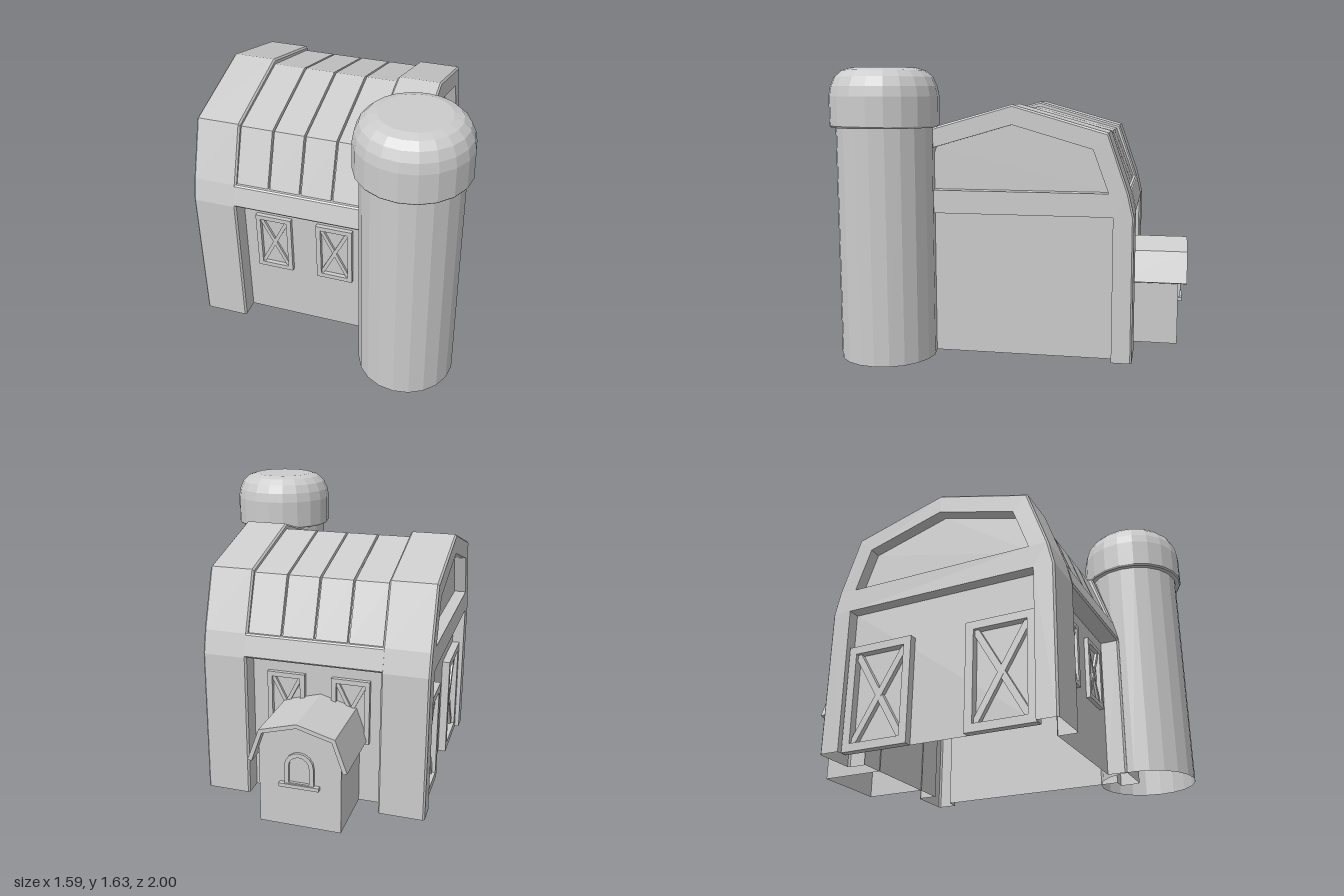
import * as THREE from 'three';

const material = new THREE.MeshStandardMaterial({ color: 0xcccccc, flatShading: true, side: THREE.DoubleSide });

function add(parent, name, geometry) {
  const mesh = new THREE.Mesh(geometry, material);
  mesh.name = name;
  parent.add(mesh);
  return mesh;
}

// Half profile [z, y] from the ground to the ridge, mirrored to a full one
const mirror = half => [
  ...half,
  ...half.filter(p => p[0] > 0).reverse().map(([z, y]) => [-z, y]),
];

// Sheet through cross-sections { x, pts } set along x
function loft(sections) {
  const pos = [];
  for (let s = 0; s < sections.length - 1; s++) {
    const A = sections[s], B = sections[s + 1];
    for (let i = 0; i < A.pts.length - 1; i++) {
      const v = (S, k) => [S.x, S.pts[k][1], S.pts[k][0]];
      const a = v(A, i), b = v(B, i), c = v(B, i + 1), d = v(A, i + 1);
      pos.push(...a, ...b, ...c, ...a, ...c, ...d);
    }
  }
  const g = new THREE.BufferGeometry();
  g.setAttribute('position', new THREE.Float32BufferAttribute(pos, 3));
  g.computeVertexNormals();
  return g;
}

const toShape = (pts, Type = THREE.Shape) => new Type(pts.map(p => new THREE.Vector2(p[0], p[1])));

// Flat upright plate at x, facing dir along x
function plate(pts, x, dir, holes = []) {
  const s = toShape(pts);
  s.holes = holes.map(h => toShape(h, THREE.Path));
  return new THREE.ShapeGeometry(s).rotateY(dir * Math.PI / 2).translate(x, 0, 0);
}

// Rectangular frame with crossed braces, facing +z, standing on its bottom edge
function bracedPanel(name, w, h, border, depth) {
  const g = new THREE.Group();
  g.name = name;
  const rect = (a, b) => [[-a, -b], [a, -b], [a, b], [-a, b]];
  const s = toShape(rect(w / 2, h / 2));
  const iw = w / 2 - border, ih = h / 2 - border;
  s.holes = [toShape(rect(iw, ih), THREE.Path)];
  add(g, 'panelFrame', new THREE.ExtrudeGeometry(s, { depth, bevelEnabled: false }).translate(0, h / 2, 0));
  for (const k of [1, -1]) {
    const t = border * 0.5;
    const bar = toShape([[-iw * k, -ih], [(-iw + t) * k, -ih], [iw * k, ih - t * 1.5],
      [iw * k, ih], [(iw - t) * k, ih], [-iw * k, -ih + t * 1.5]]);
    add(g, 'crossBrace', new THREE.ExtrudeGeometry(bar, { depth: depth * (k > 0 ? 0.6 : 0.58), bevelEnabled: false })
      .translate(0, h / 2, 0));
  }
  return g;
}

const X0 = -0.8, X1 = -0.54, X2 = 0.21, X3 = 0.465;   // barn ends and bay limits
const RECESS = 0.07, BEVEL = 0.01;

function buildBarn() {
  const barn = new THREE.Group();
  barn.name = 'barn';
  const outline = d => mirror([[0.675 - d, 0], [0.675 - d, 0.82], [0.645 - d, 0.95], [0.53 - d * 0.6, 1.28 - d], [0, 1.43 - d]]);
  const roofLine = d => mirror([[0.625 - d, 0.95], [0.51 - d, 1.26 - d], [0, 1.4 - d]]);
  const loftHole = mirror([[0.535, 0.95], [0.447, 1.19], [0, 1.32]]);
  const bay = [[0.56, 0], [0.56, 0.82], [-0.56, 0.82], [-0.56, 0]];

  // End frames with recessed gable panels
  for (const [a, b, dir] of [[X0, X1, -1], [X2, X3, 1]]) {
    const end = new THREE.Group();
    end.name = dir > 0 ? 'leftEnd' : 'rightEnd';
    barn.add(end);
    add(end, 'endSkin', loft([
      { x: a, pts: outline(BEVEL) }, { x: a + BEVEL, pts: outline(0) },
      { x: b - BEVEL, pts: outline(0) }, { x: b, pts: outline(BEVEL) },
    ]));
    const out = dir > 0 ? b : a, inner = dir > 0 ? a : b, back = out - dir * RECESS;
    add(end, 'gableFrame', plate([...outline(BEVEL), ...[...bay].reverse()], out, dir, [loftHole]));
    add(end, 'gablePanel', plate(loftHole, back, dir));
    add(end, 'gableWall', plate(bay, back, dir));
    const lo = Math.max(out, back), hi = Math.min(out, back);
    add(end, 'gableReveal', loft([lo, hi].map(x => ({ x, pts: [...loftHole, loftHole[0]] }))));
    add(end, 'wallReveal', loft([lo, hi].map(x => ({ x, pts: bay }))));
    // Steps down to the middle bay
    const ring = [...outline(BEVEL).slice(2, -2), ...roofLine(0.012).reverse()];
    add(end, 'roofStep', plate(ring, inner, -dir));
    for (const s of [1, -1]) {
      add(end, 'postSide', plate([[0.565 * s, 0], [0.665 * s, 0], [0.665 * s, 0.82], [0.565 * s, 0.82]], inner, -dir));
    }
  }

  // Middle bay: side walls with an overhanging band
  for (const s of [1, -1]) {
    let pts = [[0.565, 0], [0.565, 0.82], [0.667, 0.82], [0.675, 0.83], [0.648, 0.942], [0.64, 0.95], [0.61, 0.95]];
    if (s < 0) pts = pts.map(([z, y]) => [-z, y]).reverse();
    add(barn, s > 0 ? 'frontWall' : 'backWall', loft([X1 - BEVEL, X2 + BEVEL].map(x => ({ x, pts }))));
  }

  // Roof panels separated by narrow grooves
  const sections = [{ x: X1 - 0.002, pts: roofLine(0) }];
  for (const x of [-0.35, -0.165, 0.02]) {
    for (const [dx, d] of [[-0.006, 0], [-0.003, 0.015], [0.003, 0.015], [0.006, 0]]) {
      sections.push({ x: x + dx, pts: roofLine(d) });
    }
  }
  sections.push({ x: X2 + 0.002, pts: roofLine(0) });
  add(barn, 'roofPanels', loft(sections));

  // Windows front and back, doors on the right gable
  for (const x of [-0.355, 0.0125]) for (const s of [1, -1]) {
    const win = bracedPanel('window', 0.215, 0.365, 0.027, 0.025);
    win.position.set(x, 0.36, 0.565 * s);
    if (s < 0) win.rotation.y = Math.PI;
    barn.add(win);
  }
  for (const s of [1, -1]) {
    const door = bracedPanel('door', 0.39, 0.6, 0.045, 0.045);
    door.position.set(X0 + RECESS, 0, 0.36 * s);
    door.rotation.y = -Math.PI / 2;
    barn.add(door);
  }
  return barn;
}

// Small gambrel shed, built along +x
function buildShed() {
  const shed = new THREE.Group();
  shed.name = 'shed';
  const walls = mirror([[0.225, 0], [0.225, 0.46], [0.19, 0.54], [0, 0.595]]);
  add(shed, 'shedWalls', loft([0.56, 0.925].map(x => ({ x, pts: walls }))));
  add(shed, 'shedFront', plate(walls, 0.925, 1));
  const band = [...mirror([[0.27, 0.38], [0.205, 0.558], [0, 0.615]]),
    ...mirror([[0.248, 0.372], [0.188, 0.54], [0, 0.592]]).reverse()];
  add(shed, 'shedRoof', loft([0.56, 0.975].map(x => ({ x, pts: [...band, band[0]] }))));
  add(shed, 'shedRoofEnd', plate(band, 0.975, 1));

  // Arched window with a sill
  const arch = (r, y0) => {
    const pts = [[-r, y0]];
    for (let i = 0; i <= 8; i++) {
      const t = Math.PI * (1 - i / 8);
      pts.push([r * Math.cos(t), 0.355 + r * Math.sin(t)]);
    }
    return [...pts, [r, y0]];
  };
  const s = toShape(arch(0.08, 0.25));
  s.holes = [toShape(arch(0.056, 0.262), THREE.Path)];
  add(shed, 'archFrame', new THREE.ExtrudeGeometry(s, { depth: 0.016, bevelEnabled: false })
    .rotateY(Math.PI / 2).translate(0.925, 0, 0));
  add(shed, 'windowSill', new THREE.BoxGeometry(0.026, 0.02, 0.22).translate(0.937, 0.245, 0));
  return shed;
}

function buildSilo() {
  const silo = new THREE.Group();
  silo.name = 'silo';
  add(silo, 'siloTower', new THREE.CylinderGeometry(0.272, 0.272, 1.31, 20, 1, true).translate(0, 0.655, 0));
  const dome = [[0.268, 1.305], [0.298, 1.305], [0.305, 1.315], [0.305, 1.475], [0.295, 1.53],
    [0.272, 1.58], [0.235, 1.615], [0.185, 1.63], [0, 1.63]];
  add(silo, 'siloDome', new THREE.LatheGeometry(dome.map(p => new THREE.Vector2(...p)), 20));
  return silo;
}

export function createModel() {
  const model = new THREE.Group();
  model.name = 'barnWithSilo';
  const barn = buildBarn();
  barn.position.z = -0.025;
  const shed = buildShed();
  shed.rotation.y = Math.PI / 2;
  shed.position.set(-0.18, 0, -0.025);
  const silo = buildSilo();
  silo.position.set(0.487, 0, 0.692);
  model.add(barn, shed, silo);
  return model;
}
